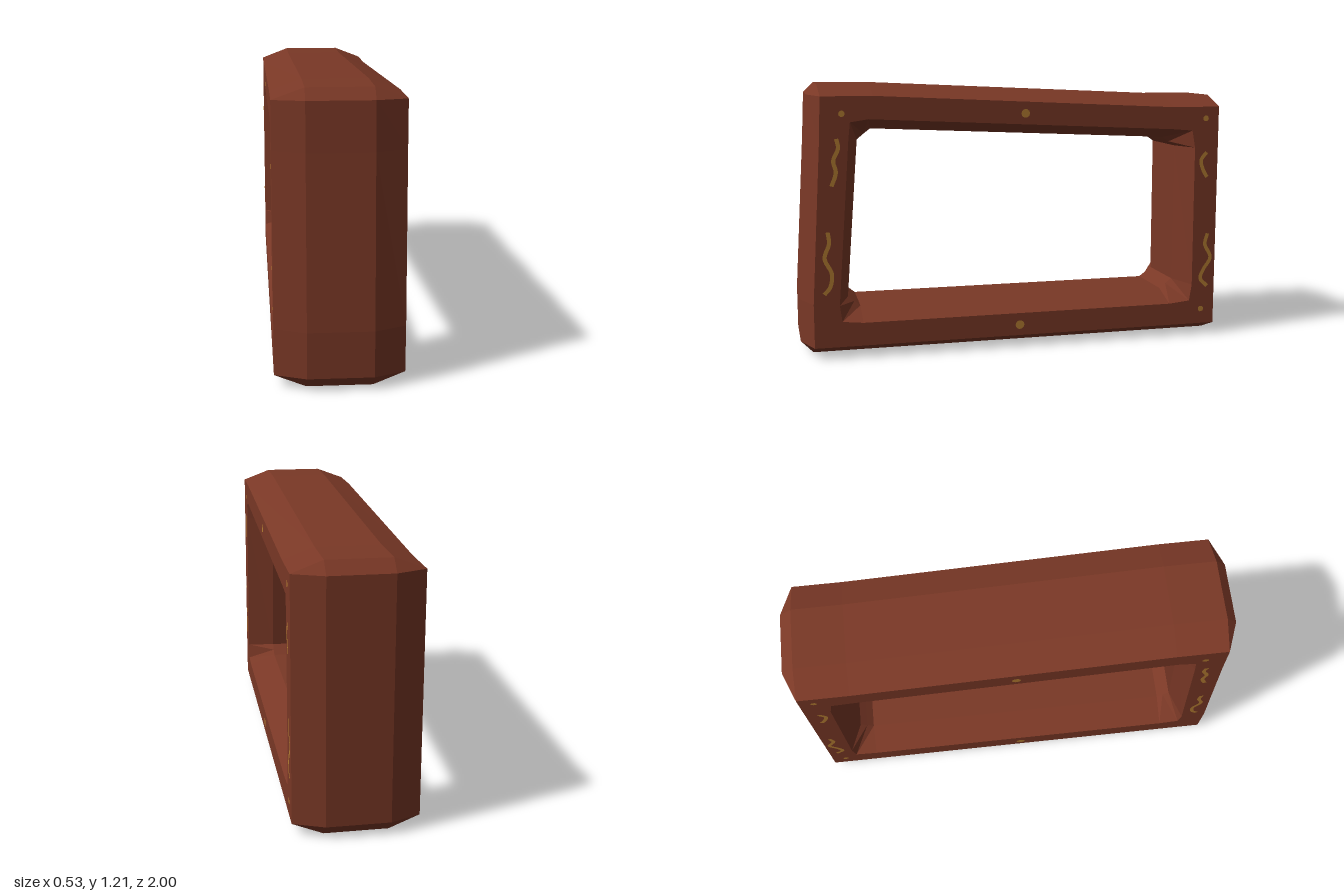
import * as THREE from 'three';

const wood = new THREE.MeshStandardMaterial({ color: 0x7a3826 });
wood.name = 'redBrownWood';
const gold = new THREE.MeshStandardMaterial({ color: 0xb57d32 });
gold.name = 'gold';

const HALF = 0.265; // half width at the side faces
const FLAT = 0.135; // half width of the unbevelled band

// Matching [z, y] outlines, running down the front, along the bottom, up the back, over the top
const outerBand = [
  [1, 0.25], [1, 0.055], [0.945, 0], [0.73, 0], [-0.72, 0], [-0.945, 0], [-1, 0.055], [-1, 0.25],
  [-1, 0.9], [-1, 1.09], [-0.945, 1.14], [-0.72, 1.14], [0.67, 1.205], [0.9, 1.205], [0.945, 1.16], [0.955, 0.96],
];
const outerSide = [
  [0.945, 0.25], [0.945, 0.053], [0.945, 0.053], [0.73, 0.053], [-0.72, 0.053], [-0.945, 0.053], [-0.945, 0.053], [-0.945, 0.25],
  [-0.945, 0.9], [-0.945, 1.09], [-0.945, 1.09], [-0.72, 1.09], [0.67, 1.157], [0.895, 1.157], [0.895, 1.157], [0.903, 0.96],
];
const innerSide = [
  [0.832, 0.24], [0.822, 0.167], [0.822, 0.167], [0.73, 0.157], [-0.72, 0.157], [-0.82, 0.167], [-0.82, 0.167], [-0.832, 0.245],
  [-0.83, 0.9], [-0.815, 0.98], [-0.815, 0.98], [-0.72, 0.988], [0.69, 1.057], [0.77, 1.045], [0.77, 1.045], [0.778, 0.97],
];
const innerBand = [
  [0.785, 0.25], [0.757, 0.227], [0.757, 0.227], [0.73, 0.205], [-0.72, 0.205], [-0.75, 0.227], [-0.75, 0.227], [-0.78, 0.25],
  [-0.78, 0.9], [-0.75, 0.92], [-0.75, 0.92], [-0.72, 0.942], [0.67, 1.008], [0.7, 0.985], [0.7, 0.985], [0.73, 0.96],
];

// Skin a closed ring of outlines with flat-shaded faces
function frameGeometry() {
  const rings = [
    [outerBand, FLAT], [outerSide, HALF], [innerSide, HALF], [innerBand, FLAT],
    [innerBand, -FLAT], [innerSide, -HALF], [outerSide, -HALF], [outerBand, -FLAT],
  ].map(([pts, x]) => pts.map(([z, y]) => new THREE.Vector3(x, y, z)));
  const pos = [];
  const tri = (a, b, c) => {
    if (a.distanceTo(b) < 1e-6 || b.distanceTo(c) < 1e-6 || c.distanceTo(a) < 1e-6) return;
    for (const p of [a, b, c]) pos.push(p.x, p.y, p.z);
  };
  rings.forEach((ring, k) => {
    const next = rings[(k + 1) % rings.length];
    ring.forEach((a, i) => {
      const j = (i + 1) % ring.length;
      tri(a, ring[j], next[j]);
      tri(a, next[j], next[i]);
    });
  });
  const g = new THREE.BufferGeometry();
  g.setAttribute('position', new THREE.Float32BufferAttribute(pos, 3));
  g.computeVertexNormals();
  return g;
}

// Painted details on the side faces, as [z, y]
const squiggles = {
  frontUpperSquiggle: [[0.83, 0.975], [0.823, 0.935], [0.845, 0.88], [0.835, 0.83], [0.855, 0.77]],
  frontLowerSquiggle: [[0.877, 0.57], [0.872, 0.52], [0.893, 0.455], [0.863, 0.385], [0.872, 0.326], [0.898, 0.294]],
  backUpperSquiggle: [[-0.888, 0.877], [-0.862, 0.84], [-0.872, 0.797], [-0.893, 0.76]],
  backLowerSquiggle: [[-0.904, 0.49], [-0.893, 0.438], [-0.922, 0.374], [-0.888, 0.316], [-0.874, 0.273], [-0.909, 0.235]],
};
const dots = {
  frontTopDot: [0.805, 1.082, 0.014],
  topDot: [-0.01, 1.072, 0.02],
  backTopDot: [-0.88, 1.036, 0.014],
  backBottomDot: [-0.88, 0.124, 0.014],
  bottomDot: [0.015, 0.103, 0.021],
};

// Flat ribbon of constant width along a curve
function ribbonShape(points, side, width) {
  const curve = new THREE.CatmullRomCurve3(points.map(([z, y]) => new THREE.Vector3(-side * z, y, 0)));
  const n = 24, left = [], right = [];
  for (let i = 0; i <= n; i++) {
    const p = curve.getPoint(i / n), t = curve.getTangent(i / n);
    const w = width / 2;
    left.push(new THREE.Vector2(p.x - t.y * w, p.y + t.x * w));
    right.unshift(new THREE.Vector2(p.x + t.y * w, p.y - t.x * w));
  }
  return new THREE.Shape([...left, ...right]);
}

function sideOrnaments(side) {
  const group = new THREE.Group();
  group.name = side > 0 ? 'leftOrnaments' : 'rightOrnaments';
  const add = (name, geometry) => {
    const mesh = new THREE.Mesh(geometry, gold);
    mesh.name = name;
    group.add(mesh);
  };
  for (const [name, pts] of Object.entries(squiggles)) {
    add(name, new THREE.ShapeGeometry(ribbonShape(pts, side, 0.018)));
  }
  for (const [name, [z, y, r]] of Object.entries(dots)) {
    add(name, new THREE.CircleGeometry(r, 10).translate(-side * z, y, 0));
  }
  group.rotation.y = side * Math.PI / 2;
  group.position.x = side * (HALF + 0.002);
  return group;
}

export function createModel() {
  const model = new THREE.Group();
  model.name = 'bevelledFrame';
  const frame = new THREE.Mesh(frameGeometry(), wood);
  frame.name = 'frame';
  model.add(frame, sideOrnaments(1), sideOrnaments(-1));
  return model;
}
